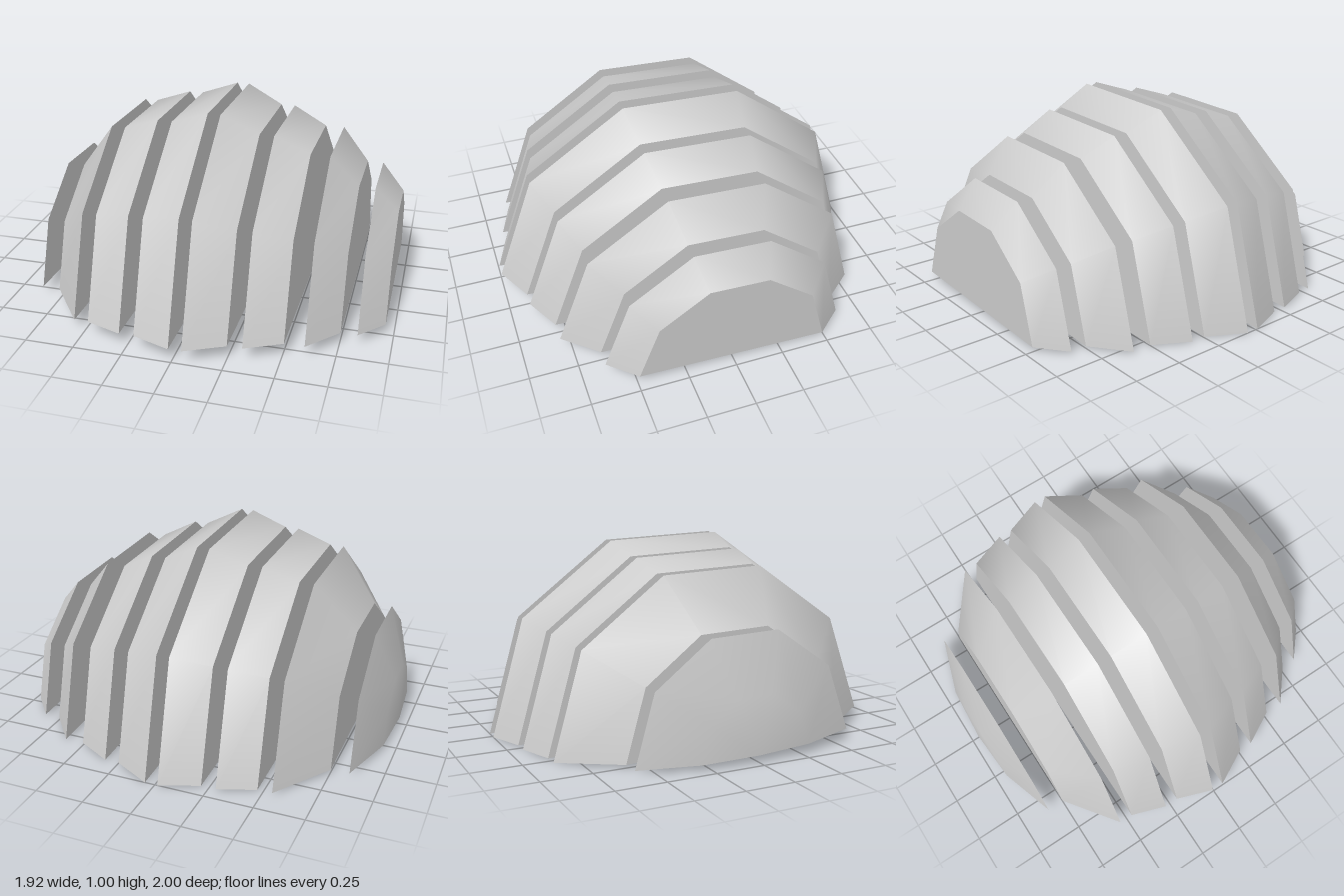
import * as THREE from 'three';
import { mergeVertices, mergeGeometries } from 'three/addons/utils/BufferGeometryUtils.js';

// Dome outline [z, y] from front foot over the top to back foot, and the point it shrinks towards
const ARC = [[1, 0.072], [0.79, 0.652], [0.28, 1], [-0.34, 0.975], [-0.83, 0.6], [-1, 0]];
const BASE_Y = 0.036;

// Each slice is a list of rings [x, scale of the outline]
const SLICES = [
  [[-0.96, 0], [-0.94, 0.29], [-0.843, 0.585]],
  [[-0.75, 0.587], [-0.545, 0.865]],
  [[-0.472, 0.866], [-0.285, 0.93]],
  [[-0.21, 0.93], [-0.013, 1]],
  [[0.053, 1], [0.248, 0.9]],
  [[0.323, 0.9], [0.505, 0.805]],
  [[0.605, 0.805], [0.752, 0.632]],
  [[0.835, 0.632], [0.957, 0.492]],
];

const ringPoints = ([x, s]) =>
  ARC.map(([z, y]) => new THREE.Vector3(x, BASE_Y + (y - BASE_Y) * s, z * s));

// Triangles sharing smooth normals among themselves; collapsed ones are dropped
function patch(triangles) {
  const solid = triangles.filter(([a, b, c]) => new THREE.Triangle(a, b, c).getArea() > 1e-6);
  const geometry = new THREE.BufferGeometry().setFromPoints(solid.flat());
  const merged = mergeVertices(geometry, 1e-5);
  merged.computeVertexNormals();
  return merged;
}

function sliceGeometry(rings) {
  const rows = rings.map(ringPoints);
  const last = ARC.length - 1;
  const shell = [], base = [], leftCap = [], rightCap = [];
  for (let i = 0; i < rows.length - 1; i++) {
    const [p, q] = [rows[i], rows[i + 1]];
    for (let j = 0; j < last; j++) {
      shell.push([p[j], q[j], q[j + 1]], [p[j], q[j + 1], p[j + 1]]);
    }
    base.push([p[0], p[last], q[last]], [p[0], q[last], q[0]]);
  }
  // Flat cut faces at both ends
  const first = rows[0], end = rows[rows.length - 1];
  for (let j = 1; j < last; j++) {
    leftCap.push([first[0], first[j], first[j + 1]]);
    rightCap.push([end[0], end[j + 1], end[j]]);
  }
  const faces = [shell, base, rightCap];
  if (rings[0][1] > 0) faces.push(leftCap);
  return mergeGeometries(faces.map(patch));
}

export function createModel() {
  const group = new THREE.Group();
  group.name = 'slicedDome';
  const material = new THREE.MeshStandardMaterial({ color: 0xcccccc });
  SLICES.forEach((rings, i) => {
    const slice = new THREE.Mesh(sliceGeometry(rings), material);
    slice.name = i === 0 ? 'endCapSlice' : `domeSlice${i}`;
    group.add(slice);
  });
  return group;
}
